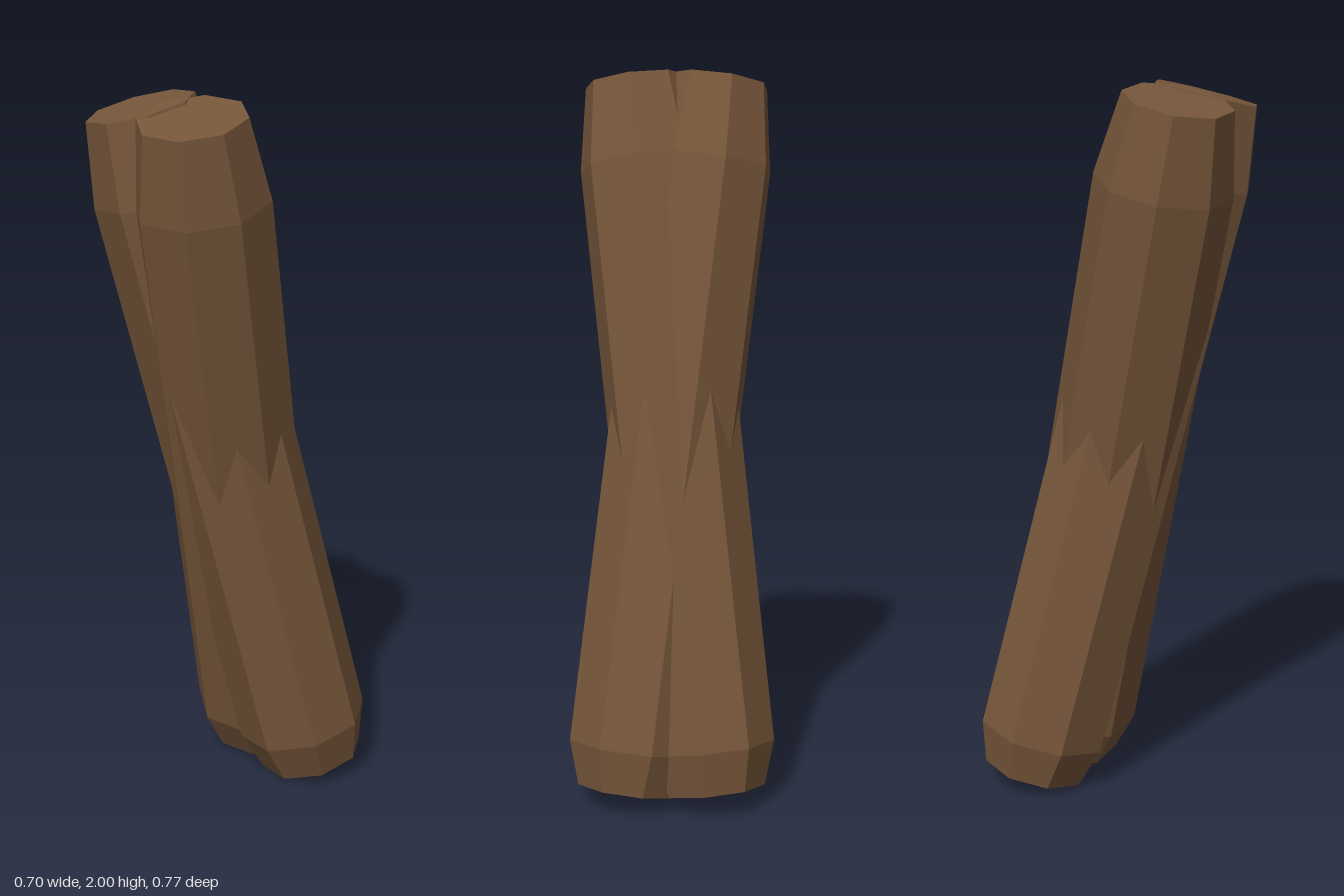
import * as THREE from 'three';

const wood = new THREE.MeshStandardMaterial({ color: 0x76563a, flatShading: true });
wood.name = 'brown wood';

const SIDES = 8;
const END_RADIUS = 0.148;
const RADIUS = 0.187;

// Eight-sided log with chamfered ends, running from one cap centre to the other
function makeLog(name, bottom, top, twist) {
  const axis = top.clone().sub(bottom);
  const length = axis.length();
  const profile = [
    [0, 0],
    [END_RADIUS, 0],
    [RADIUS, 0.12],
    [RADIUS, length - 0.23],
    [END_RADIUS, length],
    [0, length],
  ].map(([r, y]) => new THREE.Vector2(r, y));

  const log = new THREE.Mesh(new THREE.LatheGeometry(profile, SIDES, twist), wood);
  log.name = name;
  log.position.copy(bottom);
  log.quaternion.setFromUnitVectors(new THREE.Vector3(0, 1, 0), axis.normalize());
  return log;
}

export function createModel() {
  const model = new THREE.Group();
  model.name = 'crossedLogs';
  const twist = Math.PI / 16;

  // Log leaning straight forward
  model.add(makeLog('forwardLog',
    new THREE.Vector3(-0.012, 0.04, -0.236), new THREE.Vector3(-0.01, 1.965, 0.245), twist));

  // Log leaning sideways and forward, crossing the first at mid height
  model.add(makeLog('sidewaysLog',
    new THREE.Vector3(0.19, 0.037, -0.128), new THREE.Vector3(-0.208, 1.965, 0.142), -twist));

  return model;
}
